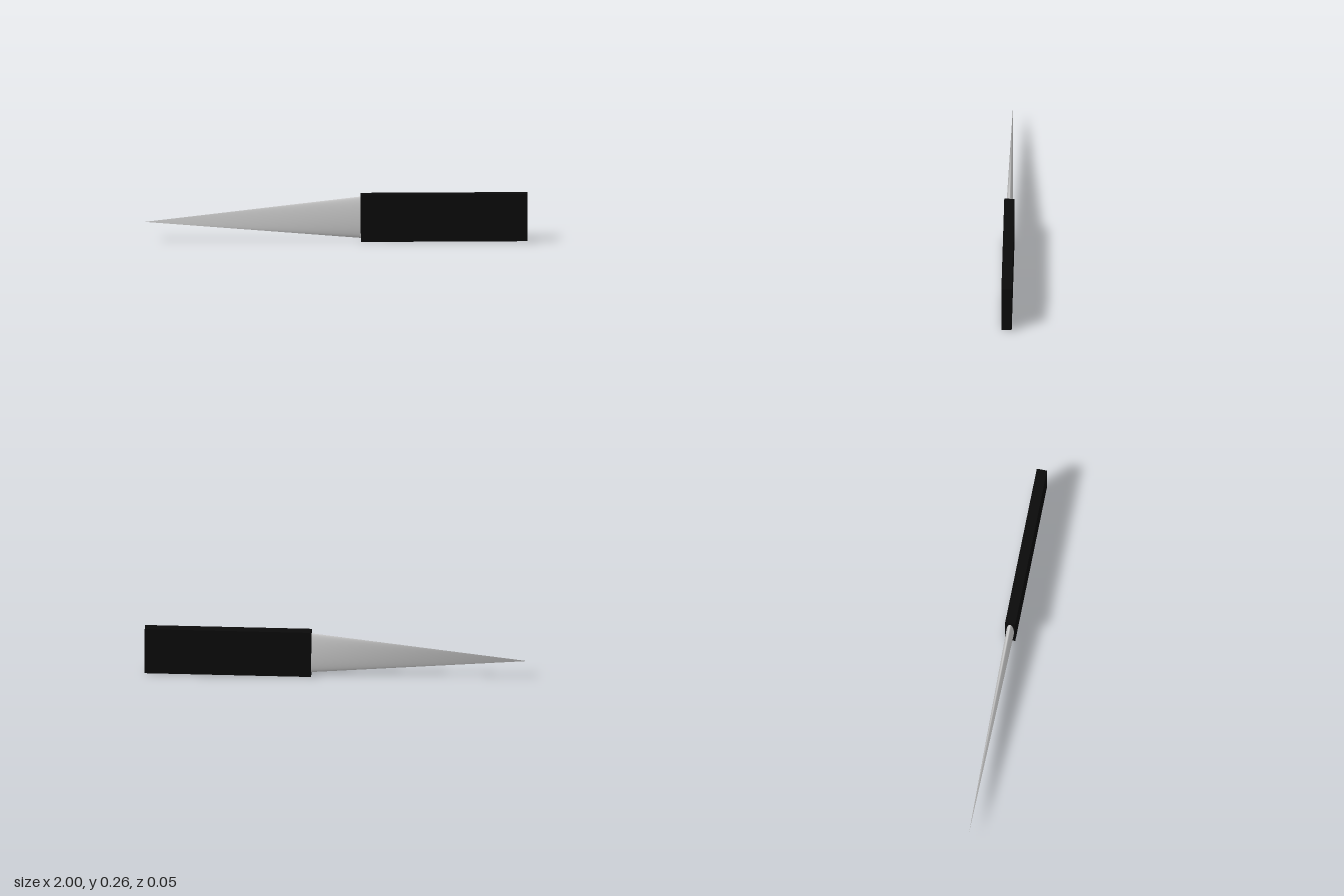
import * as THREE from 'three';
import { mergeVertices } from 'three/addons/utils/BufferGeometryUtils.js';

// Flattened elliptical cone lying along x, smooth all the way to a shared tip
function taperedBlade(length, halfHeight, halfDepth) {
  let geo = new THREE.ConeGeometry(1, length, 48, 1, true);
  geo.rotateZ(Math.PI / 2);
  geo.scale(1, halfHeight, halfDepth);
  geo.deleteAttribute('normal');
  geo.deleteAttribute('uv');
  geo = mergeVertices(geo, 1e-5);
  geo.computeVertexNormals();
  return geo;
}

export function createModel() {
  const model = new THREE.Group();

  // Blade: points to -x and dips slightly towards the tip
  const blade = new THREE.Mesh(
    taperedBlade(1.14, 0.111, 0.02),
    new THREE.MeshStandardMaterial({ color: 0xcccccc, side: THREE.DoubleSide })
  );
  blade.name = 'blade';
  blade.position.set(-0.43, 0.1135, 0);
  blade.rotation.z = 0.024;
  model.add(blade);

  // Handle: plain dark slab with a very slight tilt
  const handle = new THREE.Mesh(
    new THREE.BoxGeometry(0.87, 0.251, 0.054),
    new THREE.MeshStandardMaterial({ color: 0x0a0a0a })
  );
  handle.name = 'handle';
  handle.position.set(0.564, 0.129, 0);
  handle.rotation.z = 0.007;
  model.add(handle);

  return model;
}
